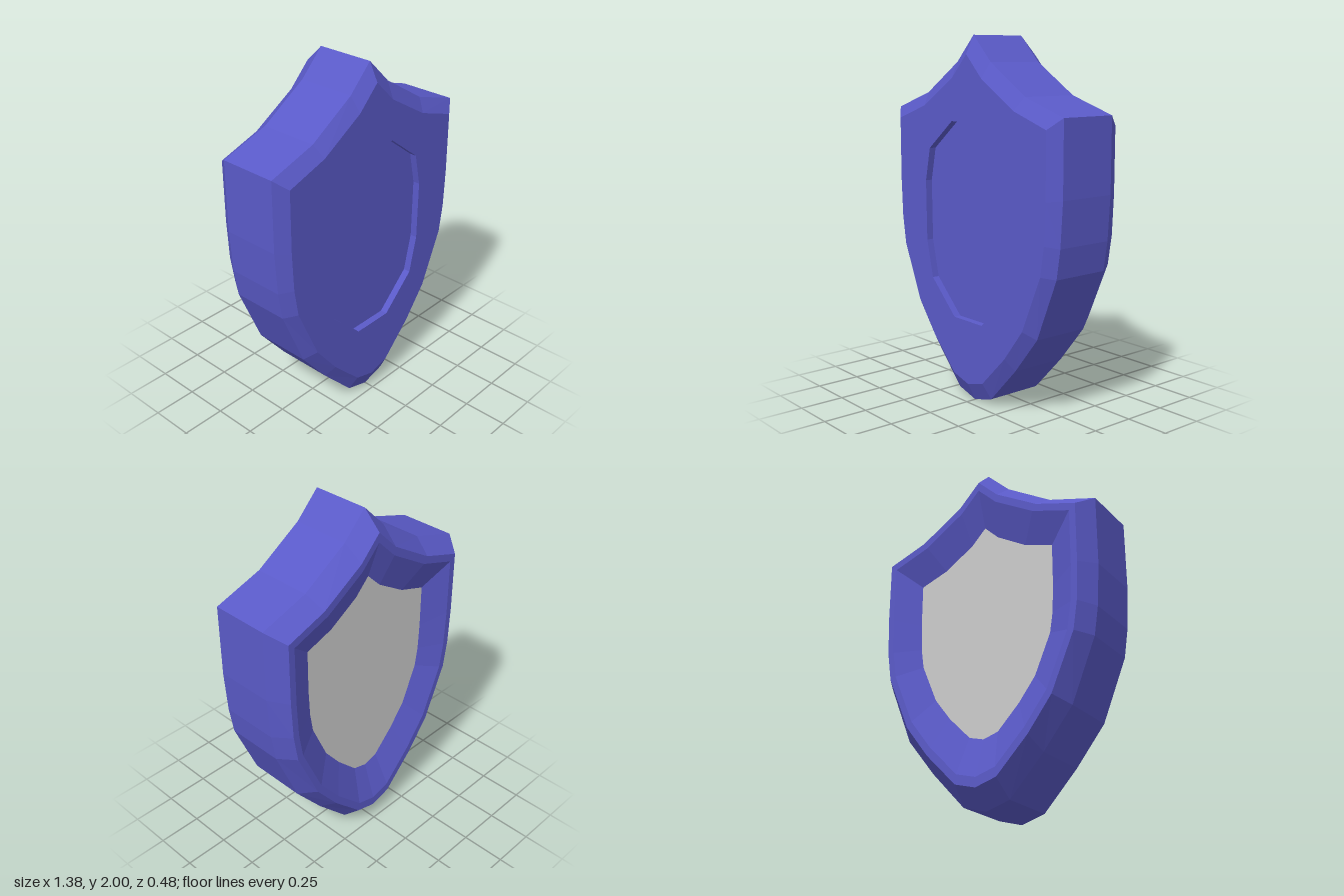
import * as THREE from 'three';

// Full counter-clockwise outline from its +x half, listed bottom to top.
function mirrored(half) {
  const left = half.filter(([x]) => x > 0).reverse().map(([x, y]) => [-x, y]);
  return [...half, ...left];
}

const scaled = (ring, s) => ring.map(([x, y]) => [x * s, 1 + (y - 1) * s]);

// Joins successive outlines, each given as { ring, z }, with quads.
function loft(sections) {
  const pos = [];
  for (let s = 0; s < sections.length - 1; s++) {
    const { ring: r0, z: z0 } = sections[s];
    const { ring: r1, z: z1 } = sections[s + 1];
    r0.forEach((p, i) => {
      const k = (i + 1) % r0.length;
      const a = [...p, z0], b = [...r0[k], z0], c = [...r1[k], z1], d = [...r1[i], z1];
      pos.push(...a, ...b, ...c, ...a, ...c, ...d);
    });
  }
  const geo = new THREE.BufferGeometry();
  geo.setAttribute('position', new THREE.Float32BufferAttribute(pos, 3));
  geo.computeVertexNormals();
  return geo;
}

// Flat face, optionally with a hole, facing +z.
function face(ring, z, hole) {
  const points = (r) => r.map(([x, y]) => new THREE.Vector2(x, y));
  const shape = new THREE.Shape(points(ring));
  if (hole) shape.holes.push(new THREE.Path(points(hole).reverse()));
  return new THREE.ShapeGeometry(shape).translate(0, 0, z);
}

export function createModel() {
  const group = new THREE.Group();
  const blue = new THREE.MeshStandardMaterial({ color: 0x5a5ac8, flatShading: true });
  const grey = new THREE.MeshStandardMaterial({ color: 0xcccccc, flatShading: true });

  const add = (name, geometry, material) => {
    const mesh = new THREE.Mesh(geometry, material);
    mesh.name = name;
    group.add(mesh);
    return mesh;
  };

  const outer = mirrored([
    [0, 0], [0.14, 0.04], [0.34, 0.25], [0.51, 0.46], [0.65, 0.8], [0.675, 0.96],
    [0.69, 1.2], [0.69, 1.6], [0.41, 1.69], [0.14, 1.86], [0, 2],
  ]);
  const inner = mirrored([
    [0, 0.1], [0.125, 0.135], [0.31, 0.32], [0.45, 0.5], [0.585, 0.81], [0.61, 0.97],
    [0.62, 1.19], [0.62, 1.54], [0.38, 1.62], [0.125, 1.775], [0, 1.9],
  ]);
  const oval = mirrored([
    [0.12, 0.46], [0.32, 0.65], [0.37, 0.86], [0.375, 1.2], [0.335, 1.385], [0.13, 1.545],
  ]);
  const backLip = scaled(inner, 0.94);
  const backInset = scaled(inner, 0.7);

  // Sloped back recess, back rim, bevels and side wall
  add('shieldBody', loft([
    { ring: backInset, z: -0.17 },
    { ring: backLip, z: -0.24 },
    { ring: inner, z: -0.24 },
    { ring: outer, z: -0.14 },
    { ring: outer, z: 0.19 },
    { ring: inner, z: 0.24 },
  ]), blue);

  // Front plate around the sunken oval
  add('frontPlate', face(inner, 0.24, oval), blue);
  add('ovalRecessWall', loft([{ ring: oval, z: 0.24 }, { ring: oval, z: 0.2 }]), blue);
  add('ovalRecessFloor', face(oval, 0.2), blue);

  // Panel closing the back; the outline is symmetric, so a half turn is enough
  add('backPanel', face(backInset, 0.17), grey).rotation.y = Math.PI;

  return group;
}
